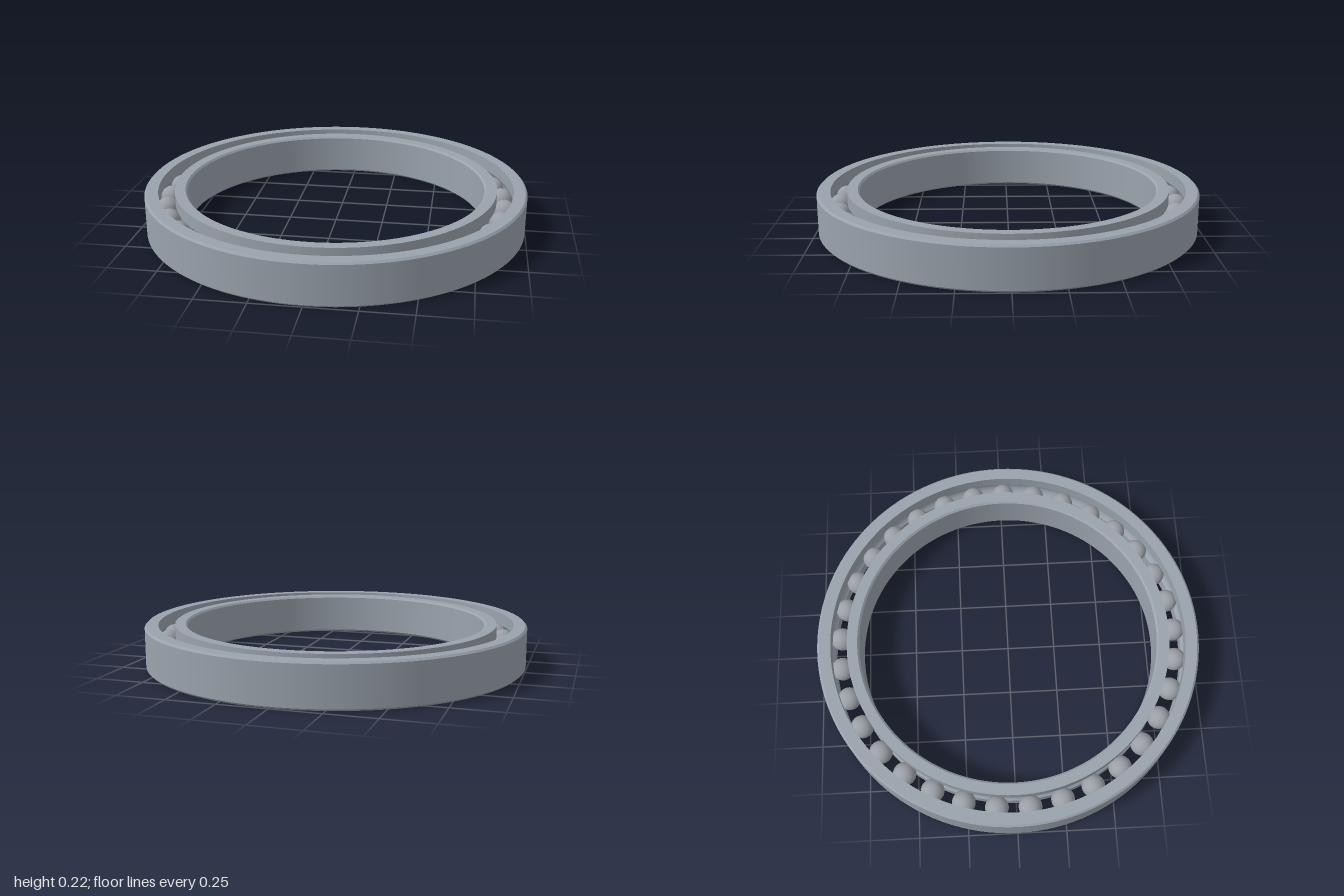
import * as THREE from 'three';
import { mergeGeometries } from 'three/addons/utils/BufferGeometryUtils.js';

const HEIGHT = 0.22;
const MID = HEIGHT / 2;
const CHAMFER = 0.01;
const PITCH = 0.8875; // radius of the circle of balls
const BALL = 0.06;
const GROOVE = 0.061;
const COUNT = 33;

// Revolves each stretch of the profile on its own, so edges between them stay sharp
function revolve(stretches) {
  return mergeGeometries(stretches.map((s) =>
    new THREE.LatheGeometry(s.map(([r, y]) => new THREE.Vector2(r, y)), 128)));
}

// Rounded ball track; side is +1 for the outer ring, -1 for the inner ring
function groove(faceRadius, side) {
  const half = Math.acos(Math.abs(faceRadius - PITCH) / GROOVE);
  const points = [];
  for (let i = 0; i <= 12; i++) {
    const a = half * (1 - i / 6);
    points.push([PITCH + side * GROOVE * Math.cos(a), MID + side * GROOVE * Math.sin(a)]);
  }
  return points;
}

// Ring whose plain wall is chamfered and whose track wall carries the groove
function ring(wall, face, side) {
  const edge = wall - side * CHAMFER;
  const track = groove(face, side);
  // Corners run up the plain wall on the outer ring, and mirrored on the inner ring
  const start = side > 0 ? 0 : HEIGHT;
  const end = HEIGHT - start;
  const low = start + side * CHAMFER;
  const high = end - side * CHAMFER;
  return revolve([
    [[face, start], [edge, start]],
    [[edge, start], [wall, low]],
    [[wall, low], [wall, high]],
    [[wall, high], [edge, end]],
    [[edge, end], [face, end]],
    [[face, end], track[0]],
    track,
    [track[track.length - 1], [face, start]],
  ]);
}

export function createModel() {
  const group = new THREE.Group();
  group.name = 'ballBearing';

  const ringSteel = new THREE.MeshStandardMaterial({ color: 0x9aa3ad });
  ringSteel.name = 'ring steel';
  const ballSteel = new THREE.MeshStandardMaterial({ color: 0x9c9fa6 });
  ballSteel.name = 'ball steel';

  // Races
  const outer = new THREE.Mesh(ring(1, 0.93, 1), ringSteel);
  outer.name = 'outerRing';
  const inner = new THREE.Mesh(ring(0.78, 0.845, -1), ringSteel);
  inner.name = 'innerRing';
  group.add(outer, inner);

  // Balls evenly spaced in the track
  const balls = new THREE.Group();
  balls.name = 'balls';
  const sphere = new THREE.SphereGeometry(BALL, 32, 20);
  for (let i = 0; i < COUNT; i++) {
    const a = 0.018 + (i / COUNT) * Math.PI * 2;
    const ball = new THREE.Mesh(sphere, ballSteel);
    ball.name = 'ball';
    ball.position.set(PITCH * Math.cos(a), MID, PITCH * Math.sin(a));
    balls.add(ball);
  }
  group.add(balls);
  return group;
}
